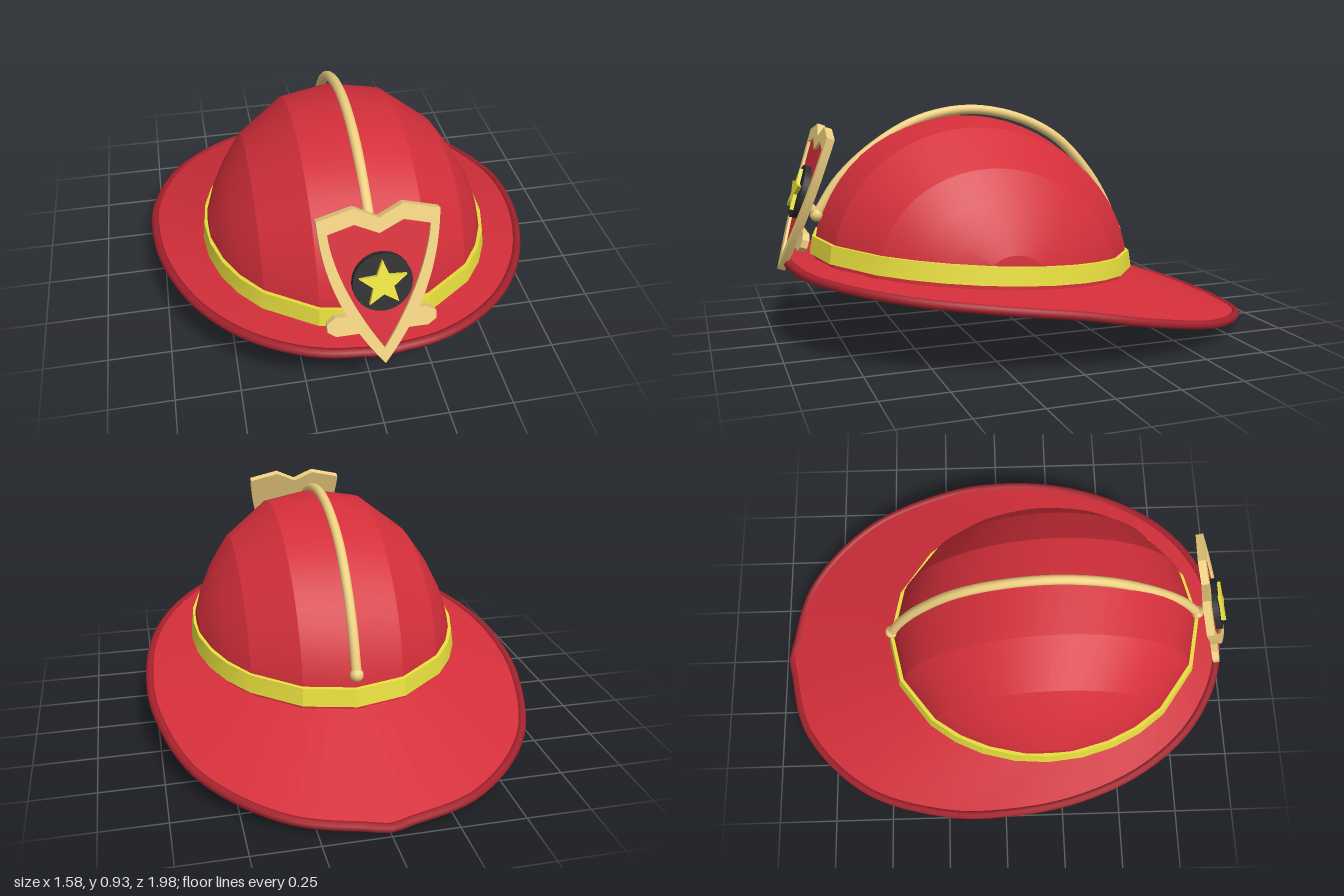
import * as THREE from 'three';
import { toCreasedNormals } from 'three/addons/utils/BufferGeometryUtils.js';

const V = (x, y, z) => new THREE.Vector3(x, y, z);
const paint = color => new THREE.MeshStandardMaterial({ color });
const RED = paint(0xd42f3a), DARK_RED = paint(0xa5222d), YELLOW = paint(0xe8df3e);
const GOLD = paint(0xefd080), BLACK = paint(0x2c2c2e), BROWN = paint(0x5e4833);

const ZC = 0.18, RX = 0.56, RZ = 0.66;          // footprint of the shell
const base = z => 0.26 + 0.085 * z;             // tilted plane where shell meets brim
const rad = THREE.MathUtils.degToRad;
const ANGLES = [0, 21, 43, 55, 66, 78, 90];     // wide panels on top, fine ones at the sides
const HEIGHTS = [0.885, 0.85, 0.71, 0.6, 0.5, 0.41, 0.275];

function add(parent, name, geometry, material) {
  const mesh = new THREE.Mesh(geometry, material);
  mesh.name = name;
  parent.add(mesh);
  return mesh;
}

// Skin between rows of points
function skin(rows, crease = 0.3) {
  const pos = [];
  for (let i = 0; i < rows.length - 1; i++) {
    for (let j = 0; j < rows[i].length - 1; j++) {
      const a = rows[i][j], b = rows[i][j + 1], c = rows[i + 1][j + 1], d = rows[i + 1][j];
      for (const p of [a, b, c, a, c, d]) pos.push(p.x, p.y, p.z);
    }
  }
  const g = new THREE.BufferGeometry();
  g.setAttribute('position', new THREE.Float32BufferAttribute(pos, 3));
  return toCreasedNormals(g, crease);
}

// Shell made of front-to-back strips, each an arc at constant x
function domeRows(scale, drop) {
  const cols = [];
  for (let i = -6; i <= 6; i++) {
    const k = Math.abs(i), a = rad(ANGLES[k]);
    const x = Math.sign(i) * RX * scale * Math.sin(a), depth = RZ * scale * Math.cos(a);
    const rise = Math.max(0, HEIGHTS[k] - drop - base(ZC));
    cols.push(Array.from({ length: 29 }, (_, j) => {
      const t = Math.PI * j / 28, z = ZC - depth * Math.cos(t);
      return V(x, base(z) + rise * Math.sin(t), z);
    }));
  }
  return cols;
}

// Ring around the shell footprint, from front over +x to back and round
const ringPoint = (a, scale, dy) => {
  const z = ZC + RZ * scale * Math.cos(a);
  return V(RX * scale * Math.sin(a), base(z) + dy, z);
};
const BAND_ANGLES = [];
for (let q = 0; q < 4; q++) {
  const list = q % 2 ? ANGLES.map(a => 90 - a).reverse() : ANGLES;
  list.slice(0, 6).forEach(a => BAND_ANGLES.push(rad(q * 90 + a)));
}
BAND_ANGLES.push(2 * Math.PI);

function buildBrim(hat) {
  const half = new THREE.CatmullRomCurve3([
    V(0, 0.325, 0.945), V(0.23, 0.32, 0.905), V(0.45, 0.308, 0.775), V(0.62, 0.285, 0.56),
    V(0.73, 0.258, 0.28), V(0.768, 0.222, 0), V(0.755, 0.17, -0.25), V(0.63, 0.095, -0.61),
    V(0.35, 0.045, -0.88), V(0, 0.018, -0.973)]);
  const N = 32, outer = [], inner = [];
  for (let i = 0; i <= 2 * N; i++) {
    const p = half.getPointAt((i <= N ? i : 2 * N - i) / N);
    if (i > N) p.x = -p.x;
    outer.push(p);
    inner.push(ringPoint(Math.PI * i / N, 1, 0));
  }
  const shift = (row, dy) => row.map(p => V(p.x, p.y + dy, p.z));
  add(hat, 'brimTop', skin([shift(outer, 0.008), shift(inner, 0.008)], 0.5), RED);
  add(hat, 'brimUnderside', skin([shift(inner, -0.012), shift(outer, -0.008)], 0.5), BROWN);
  const edge = new THREE.CatmullRomCurve3(outer.slice(0, -1), true);
  add(hat, 'brimEdge', new THREE.TubeGeometry(edge, 128, 0.018, 8, true), DARK_RED);
  const lip = new THREE.CatmullRomCurve3(
    inner.slice(0, -1).map(p => V(p.x * 0.98, p.y - 0.006, ZC + (p.z - ZC) * 0.98)), true);
  add(hat, 'innerLip', new THREE.TubeGeometry(lip, 96, 0.014, 8, true), RED);
}

function buildCrest(hat) {
  const path = new THREE.CatmullRomCurve3([
    V(0, 0.37, -0.475), V(0, 0.5, -0.42), V(0, 0.635, -0.335), V(0, 0.785, -0.19), V(0, 0.875, -0.01),
    V(0, 0.91, 0.2), V(0, 0.872, 0.41), V(0, 0.77, 0.595), V(0, 0.645, 0.735), V(0, 0.51, 0.825)]);
  add(hat, 'crest', new THREE.TubeGeometry(path, 48, 0.02, 10), GOLD);
  for (const p of [path.getPoint(0), path.getPoint(1)]) {
    add(hat, 'crestEnd', new THREE.SphereGeometry(0.027, 14, 10), GOLD).position.copy(p);
  }
  // Strut from the crest to the back of the shield
  const strut = new THREE.LineCurve3(V(0, 0.51, 0.825), V(0, 0.575, 0.87));
  add(hat, 'shieldStrut', new THREE.TubeGeometry(strut, 1, 0.018, 10), GOLD);
}

// Shield outline: notched top, curved sides down to a point
function shieldOutline(ShapeType, corner, peak, notch, tip) {
  const s = new ShapeType();
  s.moveTo(0, tip);
  s.bezierCurveTo(corner[0] * 0.62, tip + 0.17, corner[0] * 0.95, tip + 0.33, corner[0], corner[1]);
  s.lineTo(peak[0], peak[1]);
  s.lineTo(0, notch);
  s.lineTo(-peak[0], peak[1]);
  s.lineTo(-corner[0], corner[1]);
  s.bezierCurveTo(-corner[0] * 0.95, tip + 0.33, -corner[0] * 0.62, tip + 0.17, 0, tip);
  return s;
}

function buildShield(hat) {
  const shield = new THREE.Group();
  shield.name = 'shield';
  shield.position.set(0, 0.3, 0.97);
  shield.rotation.x = -0.327;
  hat.add(shield);

  const slab = (name, shape, z, depth, material) => {
    const g = new THREE.ExtrudeGeometry(shape, { depth, bevelEnabled: false, curveSegments: 14 });
    const mesh = add(shield, name, toCreasedNormals(g, 0.5), material);
    mesh.position.z = z;
    return mesh;
  };
  const frame = shieldOutline(THREE.Shape, [0.213, 0.555], [0.085, 0.588], 0.545, 0);
  slab('shieldBack', frame, -0.014, 0.008, GOLD);
  const rim = frame.clone();
  rim.holes.push(shieldOutline(THREE.Path, [0.178, 0.505], [0.085, 0.53], 0.49, 0.06));
  slab('shieldFrame', rim, -0.006, 0.022, GOLD);
  slab('shieldPanel', shieldOutline(THREE.Shape, [0.19, 0.515], [0.085, 0.545], 0.505, 0.04), -0.006, 0.012, RED);

  // Round badge with a raised star
  const disc = add(shield, 'badge', new THREE.CylinderGeometry(0.105, 0.105, 0.03, 32), BLACK);
  disc.rotation.x = Math.PI / 2;
  disc.position.set(0, 0.316, 0.016);
  const star = new THREE.Shape();
  for (let i = 0; i < 10; i++) {
    const r = i % 2 ? 0.038 : 0.088, a = Math.PI * i / 5;
    star[i ? 'lineTo' : 'moveTo'](-r * Math.sin(a), r * Math.cos(a));
  }
  star.closePath();
  slab('star', star, 0.03, 0.015, YELLOW).position.y = 0.316;

  // Bracket bar with chamfered ends behind the shield
  const bar = new THREE.Shape([[0.165, -0.036], [0.195, -0.015], [0.195, 0.015], [0.165, 0.036],
    [-0.165, 0.036], [-0.195, 0.015], [-0.195, -0.015], [-0.165, -0.036]].map(p => new THREE.Vector2(...p)));
  slab('bracketBar', bar, -0.036, 0.026, GOLD).position.y = 0.15;
}

export function createModel() {
  const hat = new THREE.Group();
  hat.name = 'helmet';

  add(hat, 'shell', skin(domeRows(1, 0), 0.22), RED);
  add(hat, 'shellLining', skin(domeRows(0.97, 0.02).reverse(), 0.22), BROWN);

  // Bright band around the foot of the shell
  const profile = [[1.027, 0.025], [1.01, 0.095], [0.97, 0.095], [0.97, 0.025], [1.027, 0.025]];
  add(hat, 'band', skin(profile.map(([s, dy]) => BAND_ANGLES.map(a => ringPoint(a, s, dy))), 0.3), YELLOW);

  buildBrim(hat);
  buildCrest(hat);
  buildShield(hat);
  return hat;
}
